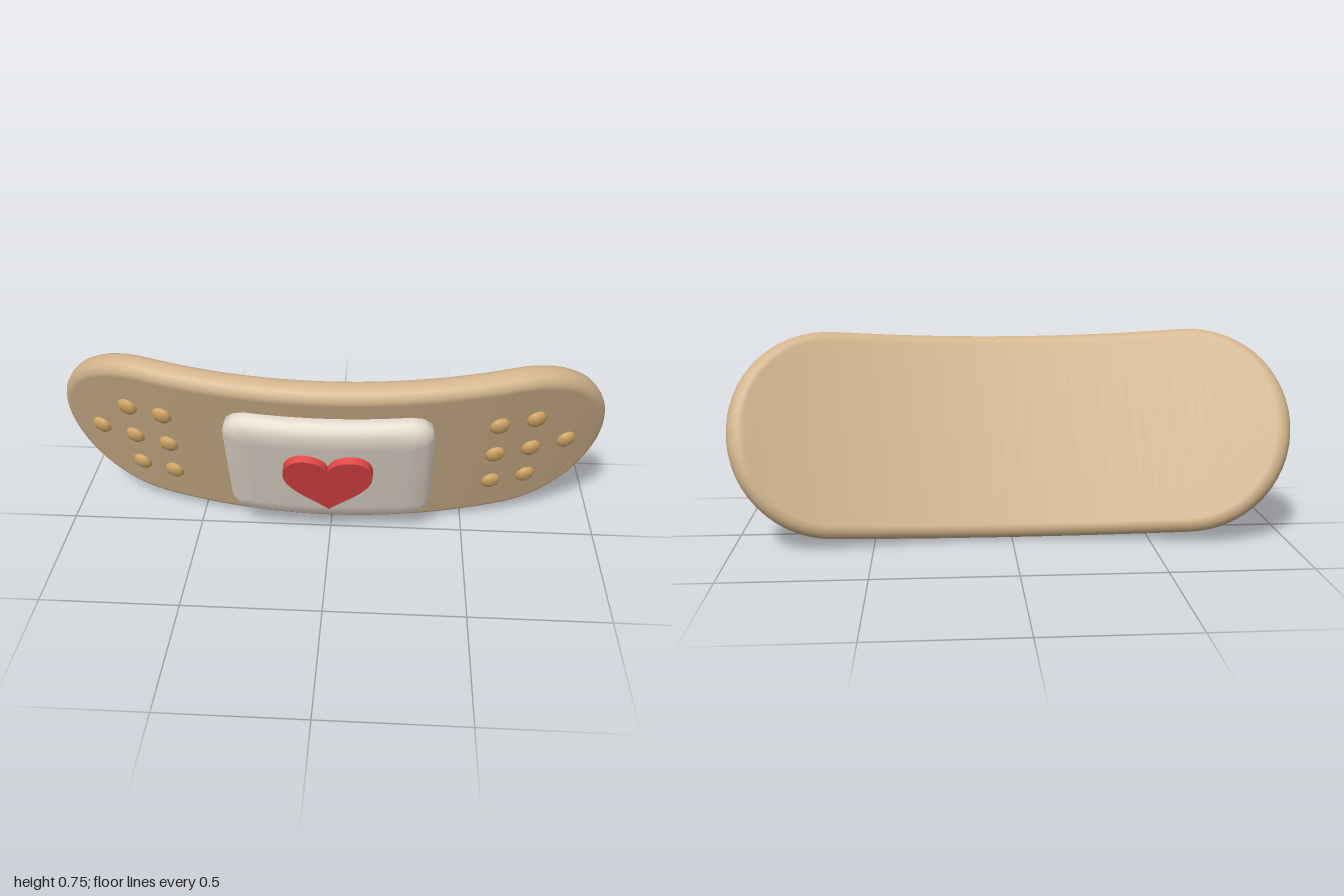
import * as THREE from 'three';

const BEND = 2.5; // radius of the curve along the strip's length

// Wraps a flat point (along, up, out) around the bend
function bend(s, v, n) {
  const a = s / BEND;
  return [(BEND + n) * Math.sin(a), v, (BEND + n) * Math.cos(a) - BEND];
}

// Closed outline of a rounded rectangle, inset by d; upper half, then mirrored lower half
function outline(halfX, halfY, radius, d, cornerSegs, straightSegs) {
  const r = Math.max(radius - d, 0.01);
  const cx = halfX - d - r;
  const cy = Math.max(halfY - d - r, 0.003);
  const top = [];
  for (let i = 0; i <= cornerSegs; i++) {
    const a = (i / cornerSegs) * Math.PI / 2;
    top.push([cx + r * Math.cos(a), cy + r * Math.sin(a)]);
  }
  for (let i = 1; i < straightSegs; i++) top.push([cx * (1 - 2 * i / straightSegs), cy + r]);
  for (let i = 0; i <= cornerSegs; i++) {
    const a = (1 + i / cornerSegs) * Math.PI / 2;
    top.push([-cx + r * Math.cos(a), cy + r * Math.sin(a)]);
  }
  return top.concat(top.slice().reverse().map(([x, y]) => [x, -y]));
}

// Bent rounded slab; rings are [inset, height] from front to back
function bentSlab(halfX, halfY, radius, rings, cornerSegs, straightSegs) {
  const pos = [], idx = [];
  let L = 0;
  for (const [d, n] of rings) {
    const loop = outline(halfX, halfY, radius, d, cornerSegs, straightSegs);
    L = loop.length;
    for (const [s, v] of loop) pos.push(...bend(s, v, n));
  }
  const quad = (a, b, c, d) => idx.push(a, b, c, a, c, d);
  for (let k = 0; k < rings.length - 1; k++) {
    for (let i = 0; i < L; i++) {
      const j = (i + 1) % L;
      quad(k * L + i, (k + 1) * L + i, (k + 1) * L + j, k * L + j);
    }
  }
  const back = (rings.length - 1) * L;
  for (let i = 0; i < L / 2 - 1; i++) {
    quad(L - 1 - i, i, i + 1, L - 2 - i);
    quad(back + L - 2 - i, back + i + 1, back + i, back + L - 1 - i);
  }
  const g = new THREE.BufferGeometry();
  g.setAttribute('position', new THREE.Float32BufferAttribute(pos, 3));
  g.setIndex(idx);
  g.computeVertexNormals();
  return g;
}

function material(name, color) {
  const m = new THREE.MeshStandardMaterial({ color });
  m.name = name;
  return m;
}

export function createModel() {
  const tan = material('tan', 0xd2b48c);
  const amber = material('amber', 0xd4a767);
  const cream = material('cream', 0xe9dfd1);
  const red = material('red', 0xe04545);

  const model = new THREE.Group();
  model.name = 'bandage';
  const tilted = new THREE.Group();
  tilted.name = 'tiltedBandage';
  tilted.rotation.x = 0.384;
  tilted.position.set(0, 0.36, 0.035);
  model.add(tilted);

  const add = (name, geometry, mat) => {
    const mesh = new THREE.Mesh(geometry, mat);
    mesh.name = name;
    tilted.add(mesh);
    return mesh;
  };

  // Strip with rounded rims
  const stripRings = [];
  const rim = 0.042, halfT = 0.05, steps = 4;
  for (let i = 0; i <= steps; i++) {
    const a = (i / steps) * Math.PI / 2;
    stripRings.push([rim * (1 - Math.sin(a)), halfT - rim * (1 - Math.cos(a))]);
  }
  for (let i = steps; i >= 0; i--) stripRings.push([stripRings[i][0], -stripRings[i][1]]);
  add('strip', bentSlab(1.028, 0.375, 0.375, stripRings, 14, 24), tan);

  // Soft pad
  const padRings = [[0.09, 0.122], [0.035, 0.118], [0.008, 0.098], [0, 0.08], [0, 0.05], [0.03, 0.025]];
  add('pad', bentSlab(0.364, 0.27, 0.08, padRings, 3, 8), cream);

  // Heart on the pad
  const heart = new THREE.Shape();
  heart.moveTo(0, -0.15);
  heart.bezierCurveTo(0.04, -0.1, 0.16, -0.03, 0.16, 0.06);
  heart.bezierCurveTo(0.16, 0.115, 0.125, 0.146, 0.085, 0.146);
  heart.bezierCurveTo(0.045, 0.146, 0.012, 0.125, 0, 0.085);
  heart.bezierCurveTo(-0.012, 0.125, -0.045, 0.146, -0.085, 0.146);
  heart.bezierCurveTo(-0.125, 0.146, -0.16, 0.115, -0.16, 0.06);
  heart.bezierCurveTo(-0.16, -0.03, -0.04, -0.1, 0, -0.15);
  const heartGeometry = new THREE.ExtrudeGeometry(heart, { depth: 0.05, bevelEnabled: false, curveSegments: 10 });
  add('heart', heartGeometry, red).position.z = 0.1;

  // Raised dots at both ends
  const dotGeometry = new THREE.SphereGeometry(0.039, 8, 6);
  const dots = [];
  for (const v of [-0.17, 0, 0.17]) dots.push([0.594, v], [0.726, v]);
  dots.push([0.862, 0]);
  for (const side of [-1, 1]) {
    for (const [s, v] of dots) {
      const dot = add(side > 0 ? 'leftDot' : 'rightDot', dotGeometry, amber);
      dot.position.set(...bend(side * s, v, 0.054));
      dot.rotation.y = side * s / BEND;
      dot.scale.z = 0.5;
    }
  }
  return model;
}
